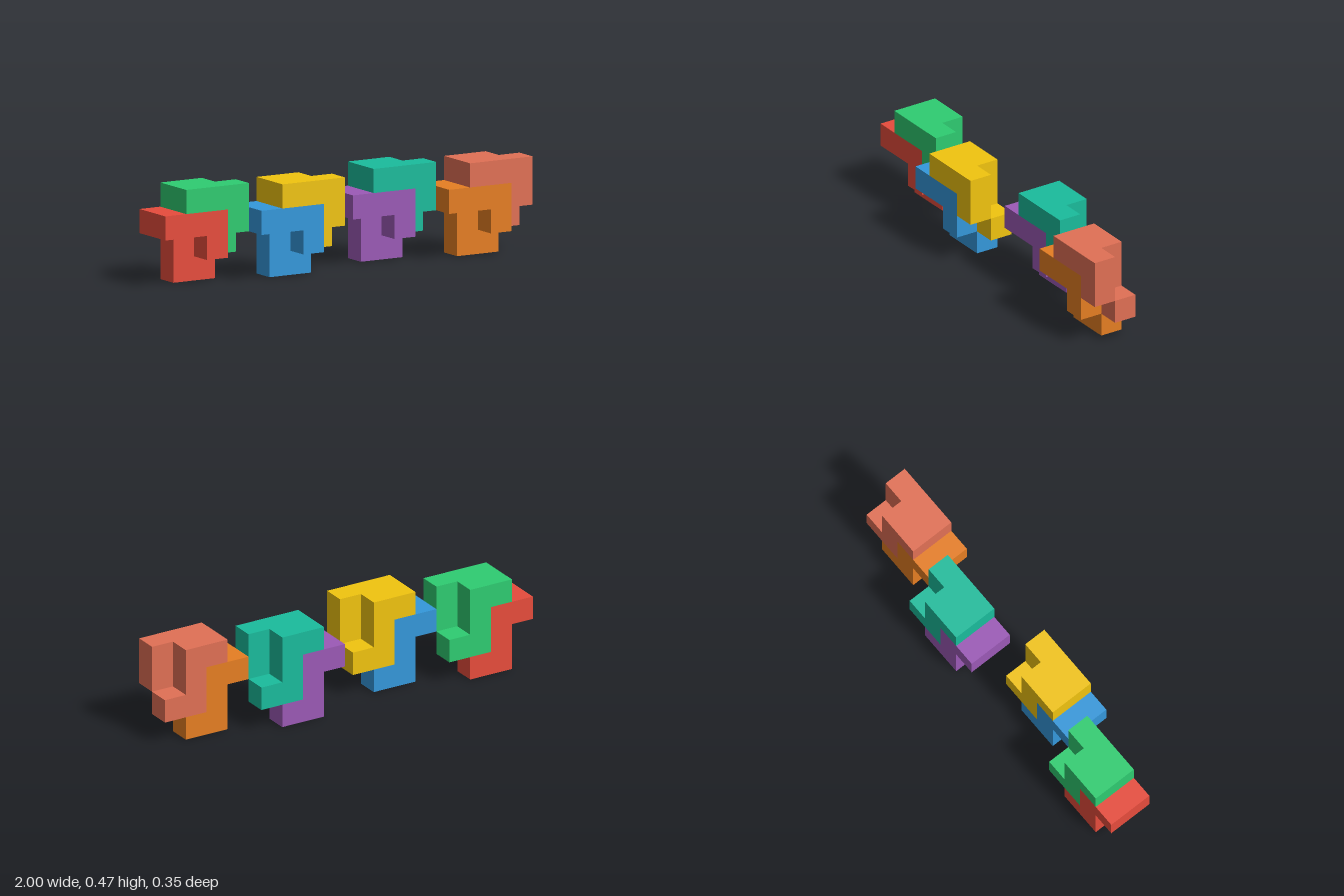
import * as THREE from 'three';
import { mergeGeometries } from 'three/addons/utils/BufferGeometryUtils.js';

const U = 2 / 17; // edge of one cube cell

// One layer of a piece: a stepped outline, one cell thick, starting at cell depth z
function layer(points, z) {
  const shape = new THREE.Shape(points.map(([x, y]) => new THREE.Vector2(x * U, y * U)));
  return new THREE.ExtrudeGeometry(shape, { depth: U, bevelEnabled: false }).translate(0, 0, z * U);
}

export function createModel() {
  const model = new THREE.Group();
  model.name = 'interlockingBlocks';

  // Every piece has the same form: an S-shaped back layer and a hooked front layer
  const piece = mergeGeometries([
    layer([[0, 2], [1, 2], [1, 0], [3, 0], [3, 1], [2, 1], [2, 3], [0, 3]], 0),
    layer([[0, 2], [2, 2], [2, 1], [3, 1], [3, 3], [0, 3]], 1),
  ]);

  function addPiece(parent, name, color, step) {
    const mesh = new THREE.Mesh(piece, new THREE.MeshStandardMaterial({ color }));
    mesh.name = name;
    mesh.position.set(step * U, step * U, 0);
    parent.add(mesh);
  }

  // Pairs: x and z cell offsets, then lower and upper piece
  const pairs = [
    [-8.5, -1.5, ['red', 0xe74c3c], ['green', 0x2ecc71]],
    [-4.5, -0.5, ['blue', 0x3498db], ['yellow', 0xf1c40f]],
    [0.5, -1.5, ['purple', 0x9b59b6], ['teal', 0x1abc9c]],
    [4.5, -0.5, ['orange', 0xe67e22], ['coral', 0xe17055]],
  ];
  pairs.forEach(([x, z, lower, upper], i) => {
    const pair = new THREE.Group();
    pair.name = `piecePair${i + 1}`;
    pair.position.set(x * U, 0, z * U);
    addPiece(pair, `${lower[0]}LowerPiece`, lower[1], 0);
    // The upper piece nests one cell to the side and one cell up
    addPiece(pair, `${upper[0]}UpperPiece`, upper[1], 1);
    model.add(pair);
  });
  return model;
}
